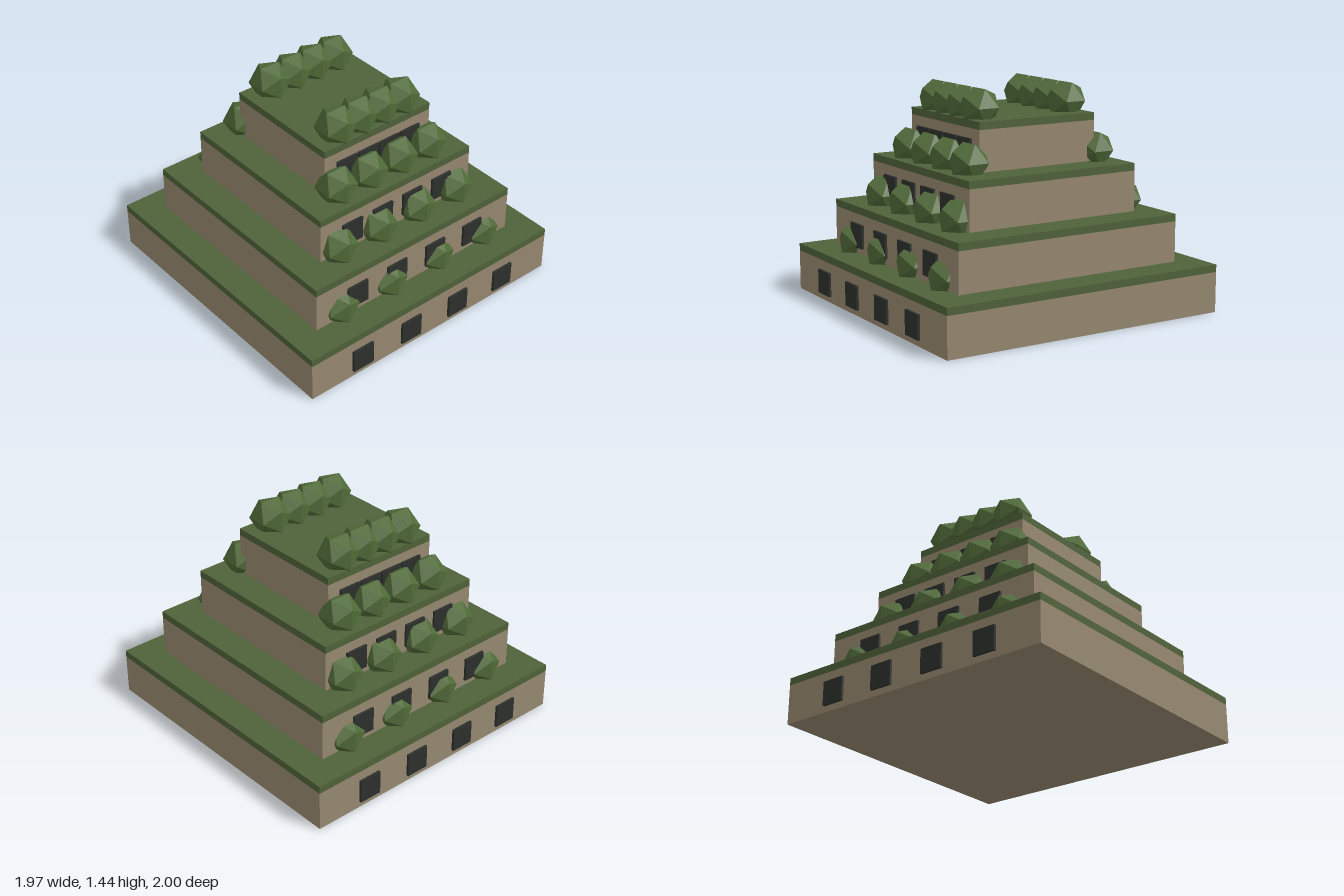
import * as THREE from 'three';

const TIERS = 4;
const RISE = 0.3155;       // floor to floor, leaves a thin gap between tiers
const WALL_H = 0.262;
const SLAB_H = 0.048;
const WINDOW = 0.157;
const WINDOW_DEPTH = 0.032;
const BUSH_R = 0.135;

const paint = (color) => new THREE.MeshStandardMaterial({ color });

export function createModel() {
  const stone = paint(0x968870);
  const grass = paint(0x4f6239);
  const glass = paint(0x2d302c);
  const leaves = paint(0x506a38);

  const windowGeo = new THREE.BoxGeometry(WINDOW, WINDOW, WINDOW_DEPTH);
  const bushGeo = new THREE.IcosahedronGeometry(BUSH_R, 0);

  const model = new THREE.Group();
  model.name = 'terracedGarden';

  const add = (parent, name, geometry, material, x, y, z) => {
    const mesh = new THREE.Mesh(geometry, material);
    mesh.name = name;
    mesh.position.set(x, y, z);
    parent.add(mesh);
  };

  for (let i = 0; i < TIERS; i++) {
    const half = 0.984 - 0.187 * i;
    const tier = new THREE.Group();
    tier.name = `tier${i + 1}`;
    tier.position.y = RISE * i;
    model.add(tier);

    // Stone block with a planted slab on top
    add(tier, 'wall', new THREE.BoxGeometry(half * 2, WALL_H, half * 2), stone, 0, WALL_H / 2, 0);
    add(tier, 'terrace', new THREE.BoxGeometry(half * 2, SLAB_H, half * 2), grass, 0, WALL_H + SLAB_H / 2, 0);

    // Four windows and four bushes along the front and the back
    for (const side of [1, -1]) {
      for (let k = 0; k < 4; k++) {
        const x = (k - 1.5) * 0.4 * half;
        add(tier, 'window', windowGeo, glass, x, 0.12, side * half);
        add(tier, 'bush', bushGeo, leaves, x, WALL_H + SLAB_H + 0.069, side * half * 0.762);
      }
    }
  }
  return model;
}
